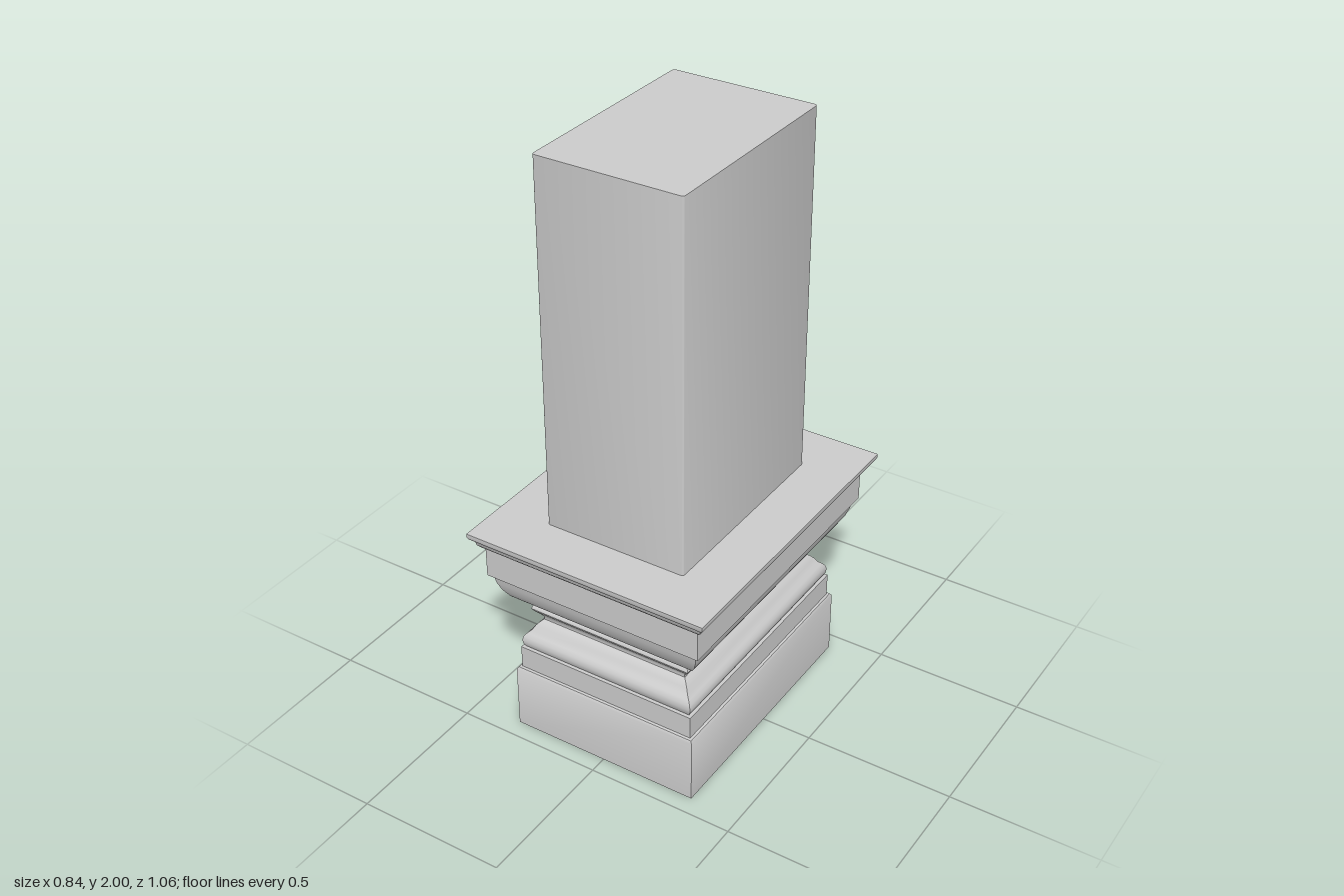
import * as THREE from 'three';
import { toCreasedNormals } from 'three/addons/utils/BufferGeometryUtils.js';

const material = new THREE.MeshStandardMaterial({ color: 0xcccccc });
const DEPTH_EXTRA = 0.11; // every section is this much deeper than wide (half sizes)

// Sweeps a moulding profile of [half width, height] points around a rectangle, with end caps
function moulding(name, profile) {
  const corners = [[1, 1], [1, -1], [-1, -1], [-1, 1]];
  const positions = [];
  const index = [];
  for (const [w, y] of profile) {
    for (const [sx, sz] of corners) positions.push(sx * w, y, sz * (w + DEPTH_EXTRA));
  }
  for (let r = 0; r < profile.length - 1; r++) {
    for (let i = 0; i < 4; i++) {
      const a = r * 4 + i;
      const b = r * 4 + (i + 1) % 4;
      index.push(a, b, b + 4, a, b + 4, a + 4);
    }
  }
  const t = (profile.length - 1) * 4;
  index.push(0, 2, 1, 0, 3, 2, t, t + 1, t + 2, t, t + 2, t + 3);
  const geometry = new THREE.BufferGeometry();
  geometry.setAttribute('position', new THREE.Float32BufferAttribute(positions, 3));
  geometry.setIndex(index);
  const mesh = new THREE.Mesh(toCreasedNormals(geometry, 0.7), material);
  mesh.name = name;
  return mesh;
}

// Upright block with softly rounded vertical edges
function roundedShaft(name, w, d, y0, y1, r) {
  const s = new THREE.Shape();
  s.absarc(w - r, d - r, r, 0, Math.PI / 2);
  s.absarc(-w + r, d - r, r, Math.PI / 2, Math.PI);
  s.absarc(-w + r, -d + r, r, Math.PI, Math.PI * 1.5);
  s.absarc(w - r, -d + r, r, Math.PI * 1.5, Math.PI * 2);
  const geometry = new THREE.ExtrudeGeometry(s, { depth: y1 - y0, bevelEnabled: false, curveSegments: 4 });
  geometry.rotateX(-Math.PI / 2);
  geometry.translate(0, y0, 0);
  const mesh = new THREE.Mesh(toCreasedNormals(geometry, 0.7), material);
  mesh.name = name;
  return mesh;
}

export function createModel() {
  const group = new THREE.Group();
  group.name = 'pedestal';

  // Square block at the foot, with a stepped band above it
  group.add(moulding('plinth', [[0.33, 0], [0.33, 0.222], [0.325, 0.23], [0.317, 0.232]]));
  group.add(moulding('band', [[0.317, 0.23], [0.317, 0.31]]));

  // Rounded torus, narrow waist and small bead
  group.add(moulding('neckMoulding', [
    [0.305, 0.31], [0.311, 0.32], [0.314, 0.335], [0.311, 0.35], [0.302, 0.362],
    [0.291, 0.372], [0.282, 0.388], [0.272, 0.4], [0.262, 0.408], [0.262, 0.418],
    [0.27, 0.43], [0.284, 0.445], [0.29, 0.456], [0.287, 0.466], [0.275, 0.475],
  ]));

  // Bowl-shaped underside, upright face and projecting lip
  group.add(moulding('capitalBowl', [
    [0.268, 0.475], [0.292, 0.483], [0.315, 0.497], [0.335, 0.517],
    [0.352, 0.545], [0.363, 0.575], [0.369, 0.608],
  ]));
  group.add(moulding('capitalFace', [[0.382, 0.608], [0.382, 0.715]]));
  group.add(moulding('capitalLip', [
    [0.382, 0.715], [0.394, 0.718], [0.401, 0.727], [0.403, 0.738],
    [0.41, 0.747], [0.418, 0.752], [0.421, 0.76], [0.421, 0.772],
  ]));

  // Tall block standing on the capital
  group.add(roundedShaft('shaft', 0.245, 0.355, 0.77, 2, 0.01));

  return group;
}
